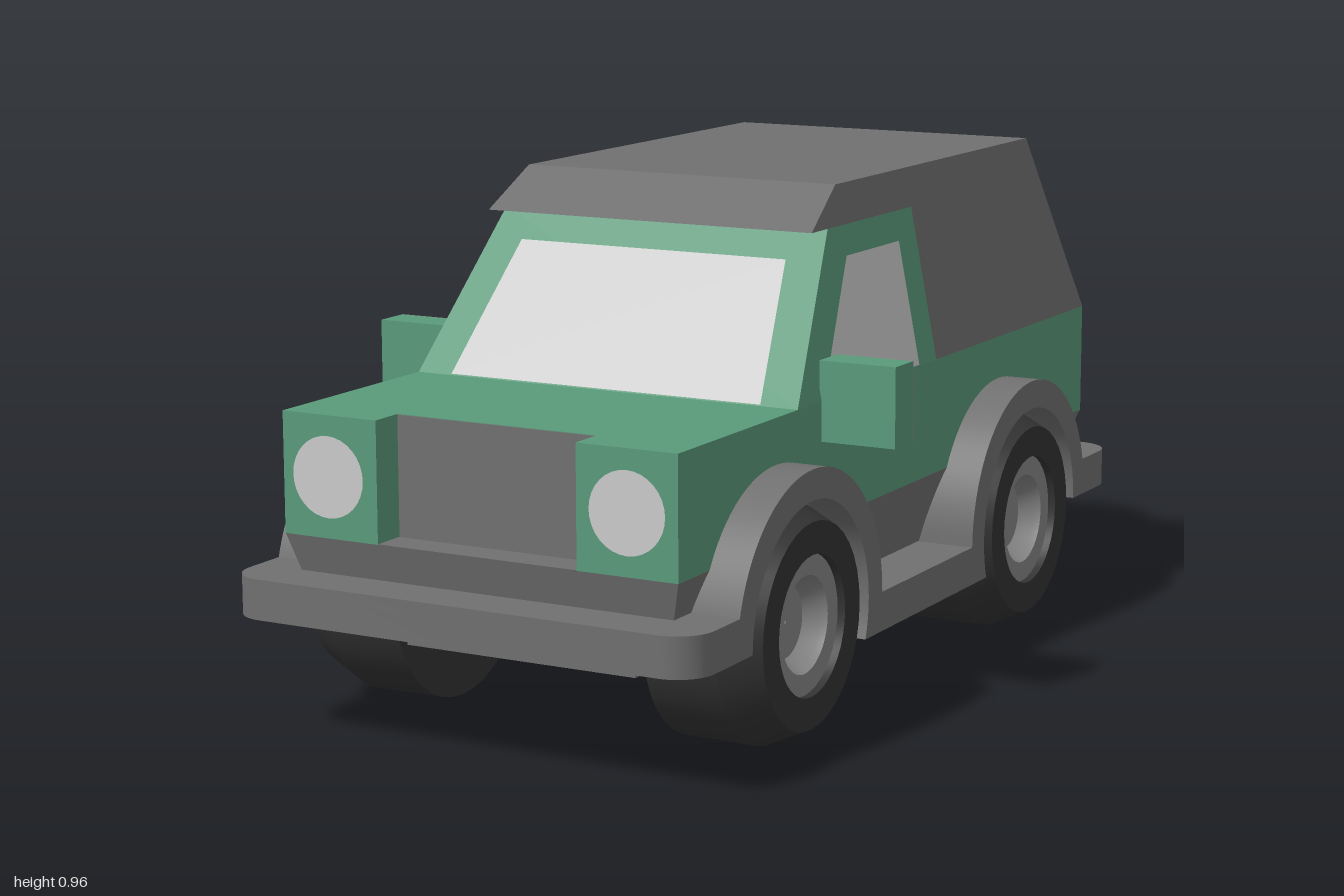
import * as THREE from 'three';
import { toCreasedNormals } from 'three/addons/utils/BufferGeometryUtils.js';
import { ConvexGeometry } from 'three/addons/geometries/ConvexGeometry.js';

const paint = (color, side = THREE.FrontSide) => new THREE.MeshStandardMaterial({ color, side });
const green = paint(0x5a9a7a);
const trim = paint(0x707070);
const rubber = paint(0x333333);
const rimGrey = paint(0x858585);
const glass = paint(0xcccccc, THREE.DoubleSide);
const red = paint(0xc0302a, THREE.DoubleSide);

const WHEEL_R = 0.225, FRONT_AXLE = 0.565, REAR_AXLE = -0.41;

// Cabin surfaces as functions of height
const cabX = y => 0.405 - 0.072 * (y - 0.595) / 0.37;
const shieldZ = y => 0.48 - 0.23 * (y - 0.595) / 0.295;
const tailZ = y => -0.85 + 0.15 * (y - 0.595) / 0.37;

export function createModel() {
  const model = new THREE.Group();

  const add = (name, geometry, material, parent = model) => {
    const mesh = new THREE.Mesh(geometry, material);
    mesh.name = name;
    parent.add(mesh);
    return mesh;
  };
  const box = (name, material, x0, x1, y0, y1, z0, z1) =>
    add(name, new THREE.BoxGeometry(x1 - x0, y1 - y0, z1 - z0), material)
      .position.set((x0 + x1) / 2, (y0 + y1) / 2, (z0 + z1) / 2);

  // Solid symmetrical about x, from [halfWidth, y, z] corners
  const hull = (name, material, corners) => add(name, new ConvexGeometry(
    corners.flatMap(([x, y, z]) => [new THREE.Vector3(x, y, z), new THREE.Vector3(-x, y, z)])), material);

  // Flat convex panel, fanned from its first corner
  const panel = (name, material, corners) => {
    const tris = [];
    for (let i = 1; i < corners.length - 1; i++) tris.push(...corners[0], ...corners[i], ...corners[i + 1]);
    const geometry = new THREE.BufferGeometry();
    geometry.setAttribute('position', new THREE.Float32BufferAttribute(tris, 3));
    geometry.computeVertexNormals();
    add(name, geometry, material);
  };

  // Plan outline (x, z) extruded downward from the given top
  const slab = (shape, top, height) => toCreasedNormals(
    new THREE.ExtrudeGeometry(shape, { depth: height, bevelEnabled: false, curveSegments: 8 })
      .rotateX(Math.PI / 2).translate(0, top, 0), 0.5);

  // Lower body with the grille notch
  const plan = new THREE.Shape([
    [-0.405, -0.85], [0.405, -0.85], [0.405, 0.92], [0.205, 0.92],
    [0.205, 0.85], [-0.205, 0.85], [-0.205, 0.92], [-0.405, 0.92],
  ].map(p => new THREE.Vector2(...p)));
  add('lowerBody', slab(plan, 0.595, 0.225), green);
  box('grille', trim, -0.204, 0.204, 0.37, 0.594, 0.84, 0.853);

  // Tapered skirt and chassis
  hull('skirt', trim, [
    [0.405, 0.371, 0.92], [0.405, 0.371, -0.85],
    [0.365, 0.226, 0.88], [0.365, 0.226, -0.76],
  ]);
  box('chassis', trim, -0.24, 0.24, 0.15, 0.25, -0.63, 0.78);

  // Wheel arches joined by the running boards
  const arch = new THREE.Shape();
  const cut = WHEEL_R + 0.003, dip = Math.asin(0.075 / cut);
  arch.moveTo(FRONT_AXLE + 0.285, WHEEL_R);
  arch.absarc(FRONT_AXLE, WHEEL_R, 0.285, 0, Math.PI, false);
  arch.absarc(REAR_AXLE, WHEEL_R, 0.285, 0, Math.PI, false);
  arch.absarc(REAR_AXLE, WHEEL_R, cut, Math.PI, -dip, true);
  arch.absarc(FRONT_AXLE, WHEEL_R, cut, Math.PI + dip, 0, true);
  arch.closePath();
  const arches = new THREE.ExtrudeGeometry(arch, { depth: 0.96, bevelEnabled: false, curveSegments: 20 })
    .translate(0, 0, -0.48).rotateY(-Math.PI / 2);
  add('archesAndRunningBoards', toCreasedNormals(arches, 0.5), trim);

  // Bumpers with rounded corners
  const bumper = (name, inner, outer) => {
    const s = new THREE.Shape(), r = 0.07;
    s.moveTo(-0.48, inner);
    s.lineTo(0.48, inner);
    s.absarc(0.48 - r, outer - r, r, 0, Math.PI / 2, false);
    s.absarc(r - 0.48, outer - r, r, Math.PI / 2, Math.PI, false);
    s.closePath();
    return add(name, slab(s, 0.3, 0.075), trim);
  };
  bumper('frontBumper', 0.793, 1);
  bumper('rearBumper', 0.638, 0.85).rotation.y = Math.PI;

  // Cabin, rear canopy and roof with its front lip
  hull('cabin', green, [
    [cabX(0.595), 0.595, 0.48], [cabX(0.595), 0.595, -0.11],
    [cabX(0.89), 0.89, shieldZ(0.89)], [cabX(0.89), 0.89, -0.11],
  ]);
  hull('rearCanopy', trim, [
    [cabX(0.595), 0.595, -0.11], [cabX(0.595), 0.595, tailZ(0.595)],
    [cabX(0.965), 0.965, -0.11], [cabX(0.965), 0.965, tailZ(0.965)],
  ]);
  hull('roof', trim, [
    [cabX(0.89), 0.89, 0.315], [cabX(0.89), 0.89, -0.11],
    [cabX(0.965), 0.965, 0.19], [cabX(0.965), 0.965, -0.11],
  ]);

  // Front and rear windows
  const gap = 0.004;
  panel('windshield', glass, [[-0.33, 0.598], [0.33, 0.598], [0.285, 0.835], [-0.285, 0.835]]
    .map(([x, y]) => [x, y, shieldZ(y) + gap]));
  panel('rearWindow', glass, [[0.295, 0.755], [-0.295, 0.755], [-0.265, 0.88], [0.265, 0.88]]
    .map(([x, y]) => [x, y, tailZ(y) - gap]));

  // Wheel: chamfered tyre with a dished rim, outer face toward local +y
  const lathe = points => toCreasedNormals(
    new THREE.LatheGeometry(points.map(p => new THREE.Vector2(...p)), 36), 0.4);
  const tyre = lathe([[0.005, 0], [WHEEL_R - 0.001, 0], [WHEEL_R, 0.145], [0.19, 0.22], [0.13, 0.22], [0.13, 0.195]]);
  const rim = lathe([[0.13, 0.205], [0.09, 0.205], [0.085, 0.19], [0.067, 0.165], [0.003, 0.165]]);
  const wheel = (name, x, y, z) => {
    const group = new THREE.Group();
    group.name = name;
    add('tyre', tyre, rubber, group);
    add('rim', rim, rimGrey, group);
    group.position.set(x, y, z);
    model.add(group);
    return group;
  };
  wheel('spareWheel', 0, 0.522, -0.78).rotation.x = -Math.PI / 2;

  // Parts on both sides
  for (const [side, s] of [['left', 1], ['right', -1]]) {
    wheel(side + 'FrontWheel', s * 0.26, WHEEL_R, FRONT_AXLE).rotation.z = -s * Math.PI / 2;
    wheel(side + 'RearWheel', s * 0.26, WHEEL_R, REAR_AXLE).rotation.z = -s * Math.PI / 2;

    const window = [[0.598, 0.383], [0.835, 0.2], [0.835, -0.025], [0.598, -0.025]]
      .map(([y, z]) => [s * (cabX(y) + gap), y, z]);
    panel(side + 'Window', glass, s > 0 ? window.reverse() : window);

    add(side + 'Headlight', new THREE.CircleGeometry(0.075, 32), glass).position.set(s * 0.307, 0.483, 0.924);

    const lampEdge = [s * 0.403, s * 0.343];
    panel(side + 'TailLight', red, [[0, 0.4], [1, 0.4], [1, 0.54], [0, 0.54]]
      .map(([i, y]) => [lampEdge[s > 0 ? i : 1 - i], y, -0.854]));

    // Mirror housing with its rear-facing plate
    const inner = s * 0.4, outer = s * 0.553;
    const x0 = Math.min(inner, outer), x1 = Math.max(inner, outer);
    box(side + 'MirrorHousing', green, x0, x1, 0.52, 0.67, 0.313, 0.385);
    box(side + 'MirrorPlate', rimGrey, x0, x1, 0.52, 0.67, 0.31, 0.313);
  }

  return model;
}
